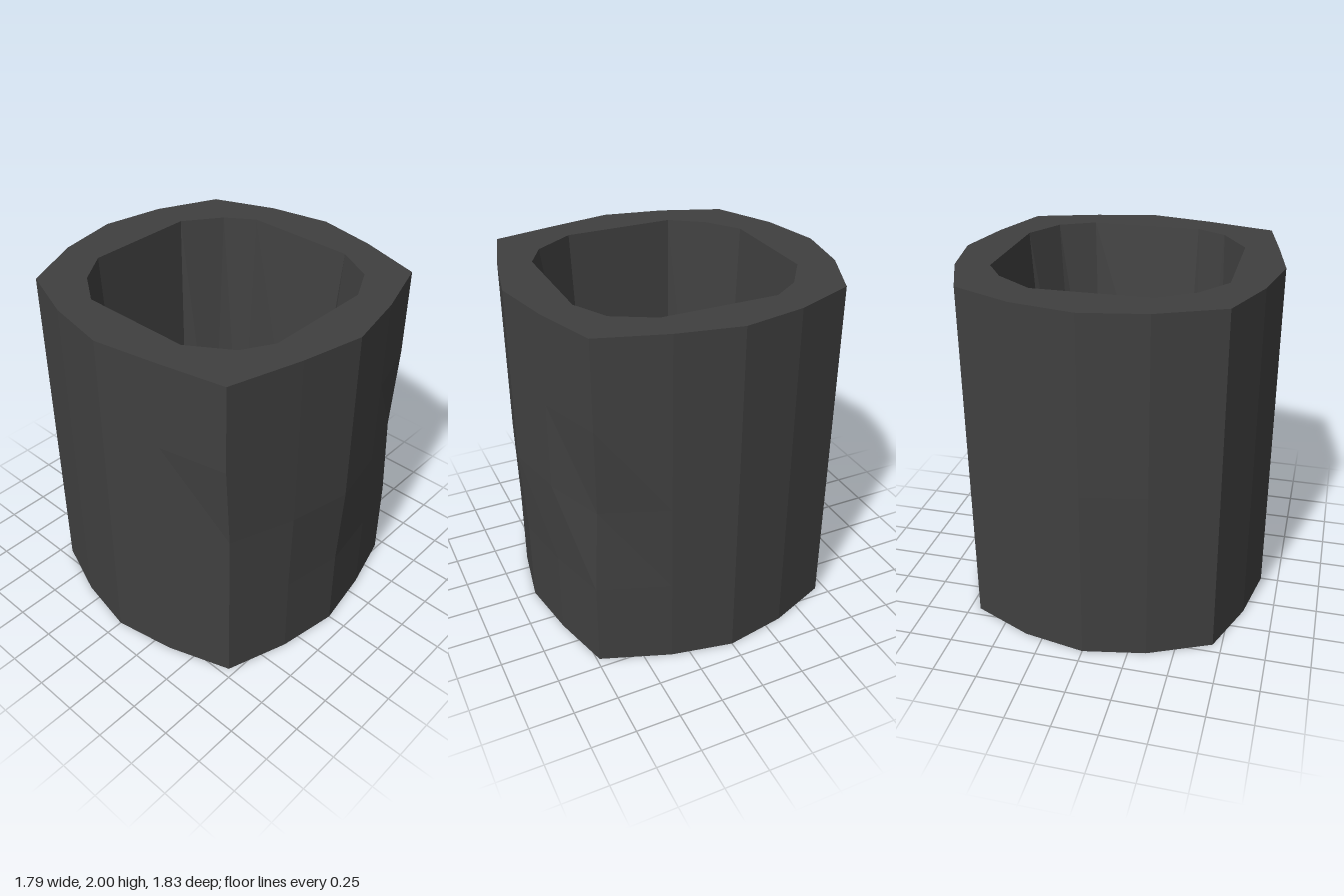
import * as THREE from 'three';

// Outline corners as [x, z], clockwise seen from above, starting at the back
const outer = [
  [0, -0.917], [0.35, -0.85], [0.69, -0.695], [0.83, -0.35],
  [0.897, 0], [0.83, 0.35], [0.715, 0.72], [0.35, 0.84],
  [0, 0.915], [-0.35, 0.84], [-0.75, 0.725], [-0.83, 0.35],
  [-0.897, 0], [-0.83, -0.35], [-0.70, -0.69], [-0.35, -0.85],
];
const mouth = [
  [-0.32, -0.63], [0.32, -0.63], [0.53, -0.48], [0.64, -0.32],
  [0.64, 0.33], [0.52, 0.55], [0.32, 0.655], [-0.32, 0.655],
  [-0.49, 0.56], [-0.64, 0.33], [-0.645, -0.31], [-0.51, -0.50],
];
const floorRing = [
  [-0.28, -0.555], [0.245, -0.555], [0.367, -0.418], [0.49, -0.28],
  [0.49, 0.255], [0.37, 0.378], [0.25, 0.50], [-0.28, 0.50],
  [-0.41, 0.41], [-0.565, 0.28], [-0.565, -0.28], [-0.43, -0.43],
];
const HEIGHT = 2;
const FLOOR_Y = 0.1;

// Copy of the outer outline with some corners moved
const dented = (moves) => outer.map((p, i) => moves[i] || p);

// Flat-faced wall through rings of equal corner count
function loft(rings) {
  const pos = [];
  for (let r = 0; r < rings.length - 1; r++) {
    const a = rings[r], b = rings[r + 1], n = a.points.length;
    const at = (ring, i) => [ring.points[i % n][0], ring.y, ring.points[i % n][1]];
    for (let i = 0; i < n; i++) {
      pos.push(...at(a, i), ...at(b, i), ...at(b, i + 1));
      pos.push(...at(a, i), ...at(b, i + 1), ...at(a, i + 1));
    }
  }
  const g = new THREE.BufferGeometry();
  g.setAttribute('position', new THREE.Float32BufferAttribute(pos, 3));
  g.computeVertexNormals();
  return g;
}

// Horizontal cap, facing up or down, with an optional hole
function cap(points, y, up, hole) {
  const s = up ? -1 : 1;
  const toVectors = (ring) => ring.map(([x, z]) => new THREE.Vector2(x, s * z));
  const shape = new THREE.Shape(toVectors(points));
  if (hole) shape.holes.push(new THREE.Path(toVectors(hole)));
  return new THREE.ShapeGeometry(shape).rotateX(s * Math.PI / 2).translate(0, y, 0);
}

export function createModel() {
  const group = new THREE.Group();
  group.name = 'hollowBlock';
  const stone = new THREE.MeshStandardMaterial({ color: 0x404040 });
  stone.name = 'darkGrey';

  const add = (name, geometry) => {
    const mesh = new THREE.Mesh(geometry, stone);
    mesh.name = name;
    group.add(mesh);
  };

  // Outer wall, slightly worn at the front corners and lower front
  const base = dented({ 6: [0.69, 0.735], 7: [0.35, 0.83], 8: [0, 0.89], 9: [-0.35, 0.83], 10: [-0.705, 0.71] });
  const middle = dented({ 6: [0.69, 0.71], 10: [-0.705, 0.71] });
  add('outerWall', loft([
    { y: 0, points: base },
    { y: 0.5, points: base },
    { y: 1, points: middle },
    { y: 1.5, points: outer },
    { y: HEIGHT, points: outer },
  ]));

  // Rim, tapering cavity and closed ends
  add('rim', cap(outer, HEIGHT, true, mouth));
  add('cavityWall', loft([
    { y: HEIGHT, points: mouth },
    { y: FLOOR_Y, points: floorRing },
  ]));
  add('cavityFloor', cap(floorRing, FLOOR_Y, true));
  add('underside', cap(base, 0, false));

  return group;
}
